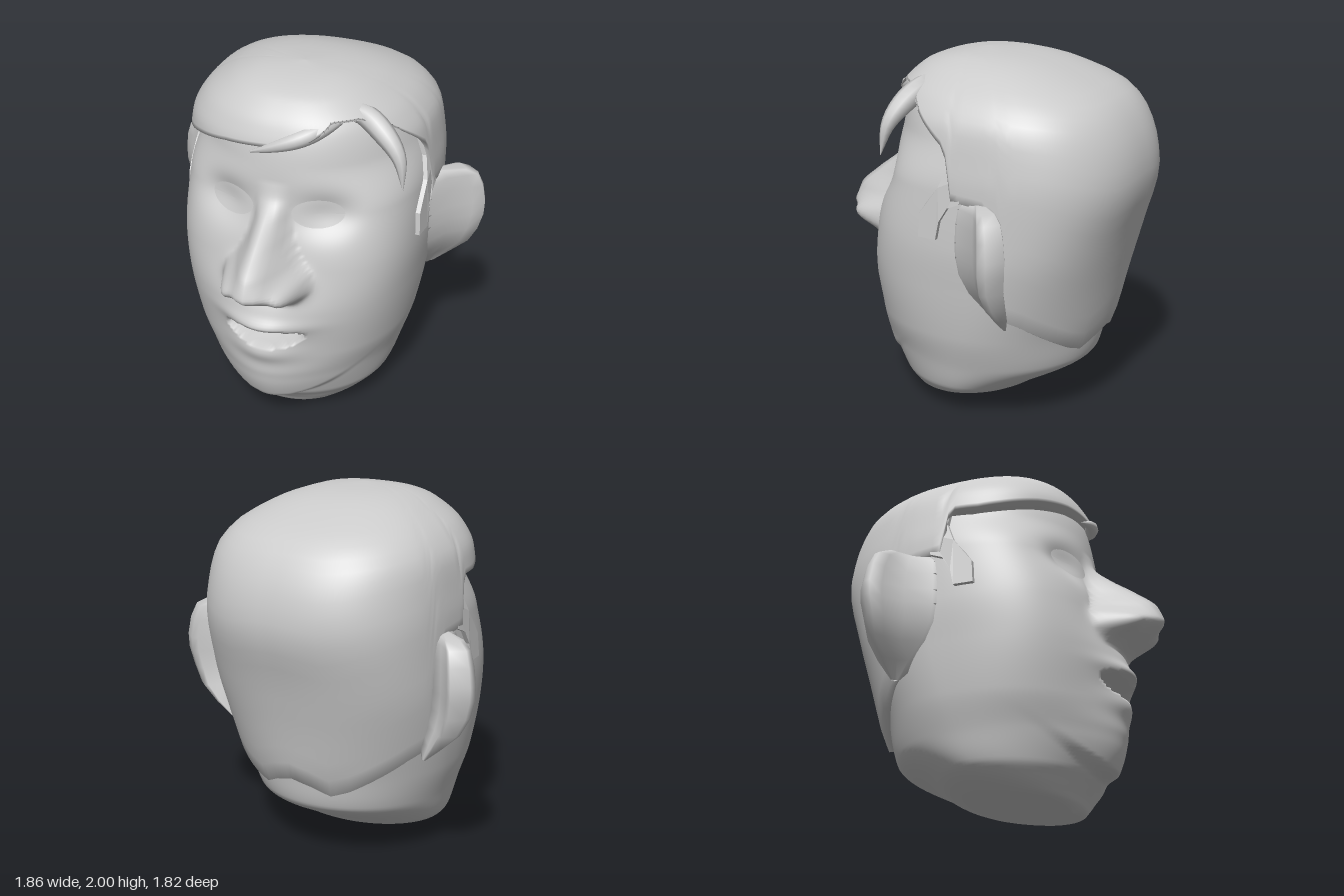
import * as THREE from 'three';

const { smoothstep, clamp, degToRad } = THREE.MathUtils;
const grey = () => new THREE.MeshStandardMaterial({ color: 0xcccccc, side: THREE.DoubleSide });

// Section tables: height, half width, z of widest point, front z, back z, squareness of the front
const SKULL = [
  [0, 0, 0.36, 0.36, 0.36, 2], [0.03, 0.25, 0.26, 0.41, 0.1, 2], [0.06, 0.35, 0.16, 0.43, -0.05, 2],
  [0.12, 0.46, 0.05, 0.48, -0.29, 1.9], [0.17, 0.51, 0, 0.52, -0.37, 1.9], [0.33, 0.565, -0.06, 0.58, -0.62, 2],
  [0.52, 0.62, -0.1, 0.6, -0.66, 2.3], [0.8, 0.66, -0.15, 0.6, -0.74, 2.7], [1.05, 0.68, -0.2, 0.57, -0.79, 2.9],
  [1.35, 0.67, -0.2, 0.51, -0.87, 2.6], [1.6, 0.61, -0.2, 0.48, -0.84, 2], [1.75, 0.55, -0.18, 0.44, -0.72, 2],
  [1.88, 0.4, -0.12, 0.3, -0.5, 2], [1.95, 0, -0.05, -0.05, -0.05, 2],
];
const HAIR = [
  [0.4, 0.6, -0.15, 0.4, -0.66], [0.52, 0.635, -0.12, 0.45, -0.71], [0.8, 0.675, -0.17, 0.5, -0.77],
  [1.05, 0.695, -0.2, 0.5, -0.83], [1.38, 0.695, -0.2, 0.5, -0.91], [1.53, 0.68, -0.2, 0.51, -0.89],
  [1.68, 0.655, -0.2, 0.51, -0.83], [1.8, 0.58, -0.17, 0.47, -0.73], [1.92, 0.41, -0.1, 0.36, -0.46],
  [1.96, 0.31, -0.04, 0.27, -0.33], [1.985, 0.21, 0, 0.16, -0.19], [2, 0, 0.03, 0.03, 0.03],
].map((row) => [...row, 2.4]);
// Nose: height, projection, half width
const NOSE = [
  [0.86, 0, 0.2], [0.9, 0.09, 0.22], [0.95, 0.22, 0.25], [1.02, 0.33, 0.24], [1.1, 0.32, 0.18],
  [1.22, 0.22, 0.12], [1.32, 0.11, 0.1], [1.42, 0.02, 0.1], [1.5, 0, 0.1],
];
// Lower hair edge: angle from the front in degrees, height
const SIDE_EDGE = [
  [82, 1.58], [85, 1.32], [95, 1.3], [100, 1.2], [106, 0.7], [120, 0.64],
  [135, 0.55], [150, 0.46], [160, 0.42], [170, 0.47], [180, 0.5],
];
const LEFT_EDGE = [[0, 1.71], [15, 1.76], [22, 1.8], [28, 1.84], [45, 1.84], [59, 1.8], [72, 1.68], ...SIDE_EDGE];
const RIGHT_EDGE = [[0, 1.71], [20, 1.69], [40, 1.65], [60, 1.6], [70, 1.58], ...SIDE_EDGE];

// Index of the table interval holding k
function interval(table, k) {
  let i = 0;
  while (i < table.length - 2 && k > table[i + 1][0]) i++;
  return i;
}

function linear(table, k) {
  const i = interval(table, k), [k0, v0] = table[i], [k1, v1] = table[i + 1];
  return v0 + (v1 - v0) * (k - k0) / (k1 - k0);
}

// Smooth lookup of a whole row, without overshoot
function smooth(table, k) {
  const i = interval(table, k), a = table[i], b = table[i + 1], h = b[0] - a[0];
  const t = clamp((k - a[0]) / h, 0, 1);
  const slope = (r, n) => (table[r + 1][n] - table[r][n]) / (table[r + 1][0] - table[r][0]);
  const tangent = (r, n) => {
    const p = slope(Math.max(0, r - 1), n), q = slope(Math.min(r, table.length - 2), n);
    return p * q > 0 ? 2 * p * q / (p + q) : 0;
  };
  return a.map((v, n) => v + (b[n] - v) * t * t * (3 - 2 * t)
    + h * t * (1 - t) * (tangent(i, n) * (1 - t) - tangent(i + 1, n) * t));
}

const bump = (d, s) => Math.exp(-((d / s) ** 2));

// Squareness of the back: round nape, fuller cranium
const backPower = (y) => 2 + 0.4 * smoothstep(y, 0.4, 1.2);

// Forward relief of the face
function relief(x, y) {
  const ax = Math.abs(x);
  // Nose and nostril wings
  const [, h, w] = smooth(NOSE, y);
  let z = h * bump(x, 0.8 * w) * (1 - Math.min(1, ax / w) ** 6);
  z += 0.1 * bump(ax - 0.17, 0.06) * bump(y - 0.97, 0.065);
  // Muzzle, lips and open mouth
  z += 0.1 * bump(x, 0.27) * bump(y - 0.74, 0.19);
  z += 0.035 * bump(x, 0.2) * bump(y - 0.725, 0.04);
  z += 0.05 * bump(x, 0.19) * bump(y - 0.54, 0.07);
  const m = (x / 0.225) ** 2 + ((y - 0.645 - 0.3 * x * x) / 0.062) ** 2;
  if (m < 1) z -= 0.14 * (1 - m ** 3);
  // Chin
  const edge = 0.16 + 0.9 * x * x;
  z += 0.075 * bump(x, 0.27) * smoothstep(y, edge, edge + 0.04) * bump(Math.max(0, y - 0.38), 0.13);
  // Eye sockets
  return z - 0.065 * bump(ax - 0.29, 0.16) * bump(y - 1.34, 0.11);
}

// Point on a section at angle th (0 = front, positive toward +x)
function section(table, th, y) {
  const [, w, zc, f, b, n] = smooth(table, y);
  const s = Math.sin(th), c = Math.cos(th), e = 2 / (c > 0 ? n : backPower(y));
  return [w * Math.sign(s) * Math.abs(s) ** e, y, zc + Math.abs(c) ** e * (c > 0 ? f - zc : b - zc)];
}

const rest = (v, n) => Math.max(0, 1 - Math.abs(v) ** n) ** (1 / n);

function faceZ(x, y) {
  const [, w, zc, f, , n] = smooth(SKULL, y);
  return zc + (f - zc) * rest(x / w, n) + relief(x, y);
}

function sideX(z, y) {
  const [, w, zc, f, , n] = smooth(SKULL, y);
  return w * rest((z - zc) / (f - zc), n);
}

// Skin over rows of closed rings
function loft(rows, cols, fn) {
  const pos = [], idx = [];
  for (let i = 0; i < rows; i++) {
    for (let j = 0; j < cols; j++) {
      pos.push(...fn(i / (rows - 1), j / cols));
      if (i === rows - 1) continue;
      const k = (j + 1) % cols, a = i * cols, b = a + cols;
      idx.push(a + j, a + k, b + k, a + j, b + k, b + j);
    }
  }
  const g = new THREE.BufferGeometry();
  g.setAttribute('position', new THREE.Float32BufferAttribute(pos, 3));
  g.setIndex(idx);
  g.computeVertexNormals();
  return g;
}

// Move every vertex of a geometry by a rule
function reshape(g, rule) {
  const p = g.attributes.position;
  for (let i = 0; i < p.count; i++) p.setXYZ(i, ...rule(p.getX(i), p.getY(i), p.getZ(i)));
  g.computeVertexNormals();
  return g;
}

// Tapered strand along a curve
function strand(points, radius) {
  const curve = new THREE.CatmullRomCurve3(points.map((p) => new THREE.Vector3(...p)));
  const n = 16, fr = curve.computeFrenetFrames(n, false);
  return loft(n + 1, 8, (t, u) => {
    const i = Math.round(t * n), a = u * Math.PI * 2;
    const r = radius * Math.sin(Math.PI * (0.12 + 0.88 * t) ** 0.8) + 0.002;
    return curve.getPointAt(t).toArray().map((v, k) => v
      + r * (Math.cos(a) * fr.normals[i].getComponent(k) + Math.sin(a) * fr.binormals[i].getComponent(k)));
  });
}

// Oval patch lying on the face
function facePatch(cx, cy, rx, ry, lift) {
  return reshape(new THREE.RingGeometry(0.001, 1, 28, 6), (u, v) => {
    const x = cx + u * rx, y = cy + v * ry;
    return [x, y, faceZ(x, y) + lift * (2 - u * u - v * v)];
  });
}

// Ear: section seen from above, and height, reach, backward shift
const EAR_RING = [[0.6, 0], [0.69, -0.14], [0.76, -0.27], [0.87, -0.35], [0.93, -0.39],
  [0.92, -0.43], [0.84, -0.495], [0.81, -0.48], [0.73, -0.4], [0.6, -0.36]];
const EAR_LEVELS = [[0.64, 0.08, -0.16], [0.73, 0.42, -0.11], [0.82, 0.73, -0.05], [0.92, 0.9, -0.01],
  [1.02, 0.99, 0], [1.1, 1, 0], [1.2, 0.95, 0], [1.28, 0.85, 0], [1.315, 0.65, 0], [1.325, 0.1, 0]];

function earGeometry() {
  return loft(EAR_LEVELS.length, EAR_RING.length, (t, u) => {
    const [y, s, dz] = EAR_LEVELS[Math.round(t * (EAR_LEVELS.length - 1))];
    const [x, z] = EAR_RING[Math.round(u * EAR_RING.length)];
    return [0.62 + (x - 0.62) * s, y, -0.22 + (z + 0.22) * s + dz];
  });
}

// Sideburn: outline in z and y, bent onto the side of the head
function sideburnGeometry() {
  const outline = [[-0.08, 1.6], [-0.08, 1.5], [-0.03, 1.38], [0.04, 1.29], [0.08, 1.23], [0.09, 1.1],
    [-0.02, 1.1], [-0.04, 1.2], [-0.09, 1.28], [-0.16, 1.31], [-0.18, 1.45], [-0.18, 1.6]];
  const shape = new THREE.Shape(outline.map(([z, y]) => new THREE.Vector2(-z, y)));
  const g = new THREE.ExtrudeGeometry(shape, { depth: 0.05, bevelEnabled: false }).rotateY(Math.PI / 2);
  return reshape(g, (x, y, z) => [sideX(z, y) + x - 0.025, y, z]);
}

export function createModel() {
  const model = new THREE.Group();
  model.name = 'head';
  const add = (name, geometry, mirror = false) => {
    const mesh = new THREE.Mesh(geometry, grey());
    mesh.name = name;
    if (mirror) mesh.scale.x = -1;
    model.add(mesh);
  };

  // Face and skull, with columns packed toward the front
  add('face', loft(140, 144, (t, u) => {
    const a = (u * 2 - 1) * Math.PI;
    const p = section(SKULL, a - 0.5 * Math.sin(a), t * 1.95);
    if (Math.abs(a) < 2.3 && p[2] > 0) p[2] += relief(p[0], p[1]);
    return p;
  }));

  // Hair cap: first row tucks into the skull to give the edge thickness
  add('hair', loft(26, 144, (t, u) => {
    const deg = u * 360 - 180, th = degToRad(deg);
    const low = linear(deg > 0 ? LEFT_EDGE : RIGHT_EDGE, Math.abs(deg));
    if (t === 0) return section(SKULL, th, low);
    const k = (t * 25 - 1) / 24;
    return section(HAIR, th, low + (2 - low) * Math.sin(k * Math.PI / 2));
  }));

  // Loose locks at the parting
  add('frontLock', strand([[0.3, 1.83, 0.3], [0.15, 1.765, 0.45], [0, 1.71, 0.5], [-0.13, 1.66, 0.5]], 0.045));
  add('sideLock', strand([[0.27, 1.83, 0.22], [0.39, 1.835, 0.21], [0.53, 1.76, 0.26],
    [0.62, 1.66, 0.3], [0.655, 1.5, 0.33]], 0.06));

  add('mouth', facePatch(0, 0.65, 0.17, 0.04, 0.008));

  // Mirrored pairs
  for (const [side, mirror] of [['left', false], ['right', true]]) {
    add(side + 'Eye', facePatch(0.24, 1.345, 0.133, 0.077, 0.012), mirror);
    add(side + 'Ear', earGeometry(), mirror);
    add(side + 'Sideburn', sideburnGeometry(), mirror);
  }
  return model;
}
